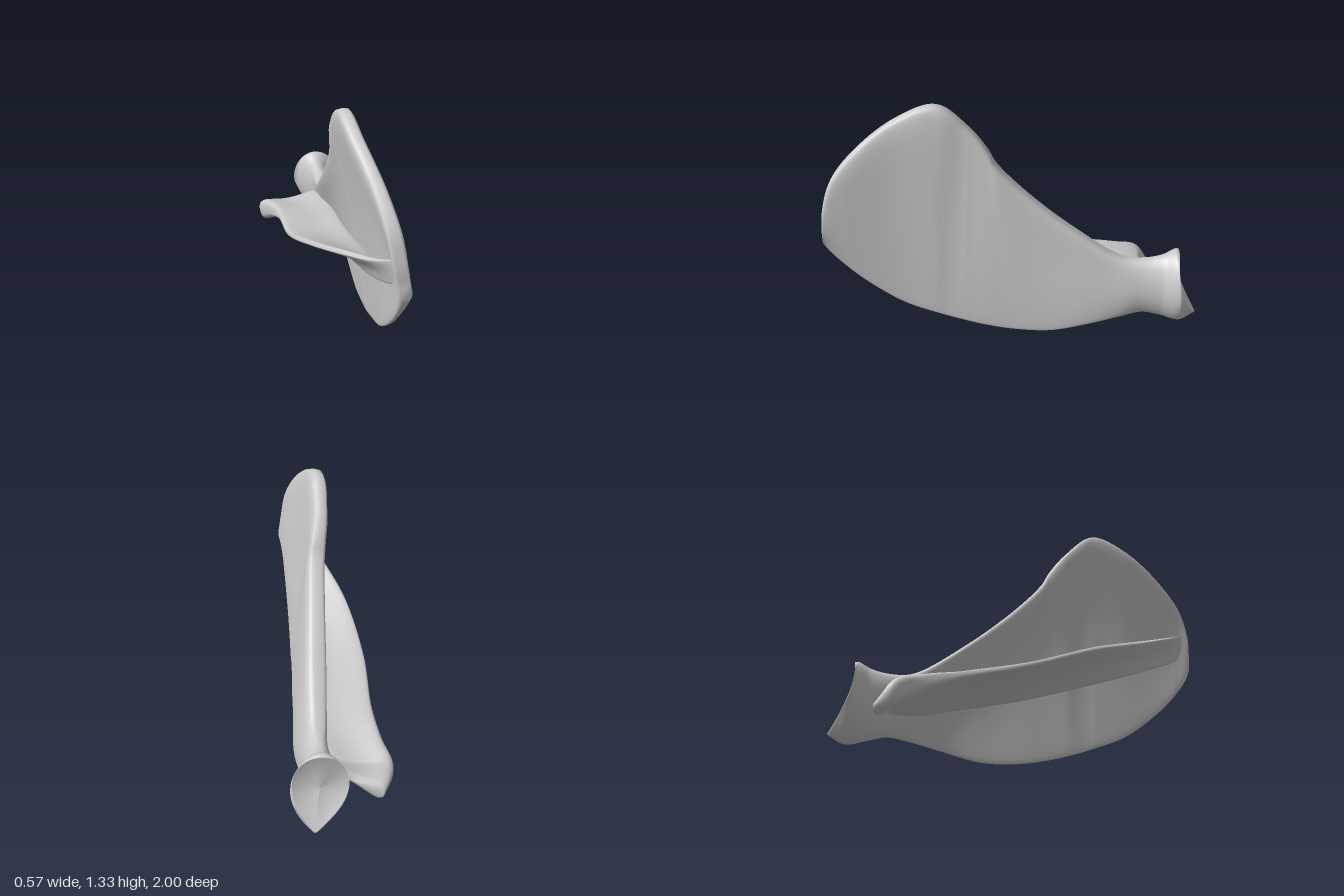
import * as THREE from 'three';

const rail = (pts) => new THREE.CatmullRomCurve3(pts.map((p) => new THREE.Vector3(...p)));

// Skin closed sections spanning two rails. Each thickness entry is [middle, extra at first rail, extra at second rail].
// bow bends the section sideways, scoop hollows the start cap, zBow curves the first section along z.
function loftBetween({ from, to, thickness, steps, bow, scoop, zBow, power }) {
  const A = rail(from), B = rail(to), T = rail(thickness), N = 64;
  const section = (t) => {
    const a = A.getPoint(t), b = B.getPoint(t), h = T.getPoint(t);
    const n = new THREE.Vector3(b.y - a.y, a.x - b.x, 0).normalize();
    const fade = Math.max(0, 1 - t * (from.length - 1));
    const ring = [];
    for (let j = 0; j < N; j++) {
      const ang = (j / N) * Math.PI * 2, s = Math.sin(ang), u = (1 - Math.cos(ang)) / 2;
      const half = Math.max(0.004, h.x + h.y * (1 - u) ** 4 + h.z * u ** 4);
      const arch = 4 * u * (1 - u);
      const bend = bow * arch * Math.min(1, t * 3, (1 - t) * 6);
      const p = a.clone().lerp(b, u);
      p.addScaledVector(n, Math.sign(s) * Math.abs(s) ** power(t) * half + bend);
      p.z += zBow * arch * fade;
      ring.push(p);
    }
    return ring;
  };
  const shrink = (ring, k, depth) => {
    const c = ring.reduce((m, p) => m.add(p), new THREE.Vector3()).divideScalar(N);
    return ring.map((p) => {
      const q = c.clone().lerp(p, k);
      q.z += depth * (1 - k * k);
      return q;
    });
  };
  const rings = [];
  const first = section(0), last = section(1);
  for (const k of [0, 0.2, 0.4, 0.6, 0.78, 0.9, 0.97]) rings.push(shrink(first, k, scoop));
  for (let i = 0; i <= steps; i++) rings.push(section(i / steps));
  for (const k of [0.9, 0.5, 0]) rings.push(shrink(last, k, 0.005));

  const pos = [], idx = [];
  rings.forEach((r) => r.forEach((p) => pos.push(p.x, p.y, p.z)));
  for (let i = 0; i < rings.length - 1; i++) {
    for (let j = 0; j < N; j++) {
      const a = i * N + j, b = i * N + ((j + 1) % N);
      idx.push(a, b, b + N, a, b + N, a + N);
    }
  }
  const geo = new THREE.BufferGeometry();
  geo.setAttribute('position', new THREE.Float32BufferAttribute(pos, 3));
  geo.setIndex(idx);
  geo.computeVertexNormals();
  return geo;
}

// Section roundness along a part: round at the start, flatter further on
const flatten = (t0, t1) => (t) => THREE.MathUtils.lerp(1, 0.5, THREE.MathUtils.smoothstep(t, t0, t1));

export function createModel() {
  const group = new THREE.Group();
  group.name = 'shoulderBlade';
  const material = new THREE.MeshStandardMaterial({ color: 0xcccccc });
  const add = (name, spec) => {
    const mesh = new THREE.Mesh(loftBetween(spec), material);
    mesh.name = name;
    group.add(mesh);
  };

  // Fan-shaped blade with its neck and joint socket, from lower border to upper border
  add('bladeAndSocket', {
    from: [
      [0.12, 0.085, -1.0], [0.13, 0.04, -0.91], [0.12, 0.06, -0.8], [0.135, 0.09, -0.7],
      [0.175, 0.085, -0.58], [0.205, 0.05, -0.4], [0.212, 0.005, -0.2], [0.212, 0.008, 0],
      [0.215, 0.035, 0.15], [0.215, 0.07, 0.28], [0.22, 0.12, 0.42], [0.225, 0.2, 0.6],
      [0.233, 0.35, 0.79], [0.24, 0.48, 0.91], [0.25, 0.57, 0.97], [0.26, 0.62, 0.99],
    ],
    to: [
      [0.065, 0.465, -0.885], [0.068, 0.47, -0.865], [0.075, 0.44, -0.8], [0.08, 0.42, -0.7],
      [0.08, 0.43, -0.58], [0.077, 0.61, -0.31], [0.072, 0.825, -0.06], [0.066, 1.0, 0.1],
      [0.055, 1.08, 0.145], [0.04, 1.2, 0.24], [0.05, 1.33, 0.4], [0.085, 1.27, 0.6],
      [0.15, 1.13, 0.8], [0.2, 0.97, 0.935], [0.228, 0.81, 0.985], [0.252, 0.71, 0.993],
    ],
    thickness: [
      [0.145, -0.1, 0], [0.135, -0.05, 0], [0.085, -0.03, 0], [0.06, -0.02, 0.01],
      [0.045, -0.02, 0.035], [0.03, -0.01, 0.055], [0.022, -0.005, 0.06], [0.02, -0.005, 0.06],
      [0.019, -0.004, 0.055], [0.018, -0.003, 0.055], [0.018, -0.003, 0.055], [0.02, -0.003, 0.048],
      [0.023, 0, 0.042], [0.026, 0, 0.035], [0.03, 0, 0.02], [0.03, 0, 0],
    ],
    steps: 120, bow: 0.018, scoop: 0.035, zBow: 0.04,
    power: flatten(0.1, 0.35),
  });

  // Ridge standing off the blade, ending in a thick overhanging tip
  add('ridgeAndTip', {
    from: [
      [0.08, 0.25, -0.72], [0.09, 0.25, -0.69], [0.115, 0.26, -0.55], [0.13, 0.3, -0.35],
      [0.145, 0.38, 0], [0.163, 0.48, 0.35], [0.183, 0.57, 0.65], [0.21, 0.64, 0.85], [0.235, 0.68, 0.945],
    ],
    to: [
      [-0.235, 0.11, -0.78], [-0.285, 0.18, -0.69], [-0.24, 0.26, -0.55], [-0.2, 0.33, -0.35],
      [-0.18, 0.42, 0], [-0.095, 0.57, 0.36], [0.04, 0.69, 0.66], [0.13, 0.77, 0.85], [0.2, 0.82, 0.945],
    ],
    thickness: [
      [0.022, 0.05, 0.06], [0.03, 0.08, 0.11], [0.025, 0.09, 0.06], [0.018, 0.08, 0.018],
      [0.015, 0.08, 0.01], [0.015, 0.07, 0.01], [0.016, 0.05, 0.01], [0.016, 0.02, 0.006], [0.012, 0, 0],
    ],
    steps: 80, bow: 0.01, scoop: -0.01, zBow: 0.035,
    power: flatten(0, 0.35),
  });

  return group;
}
